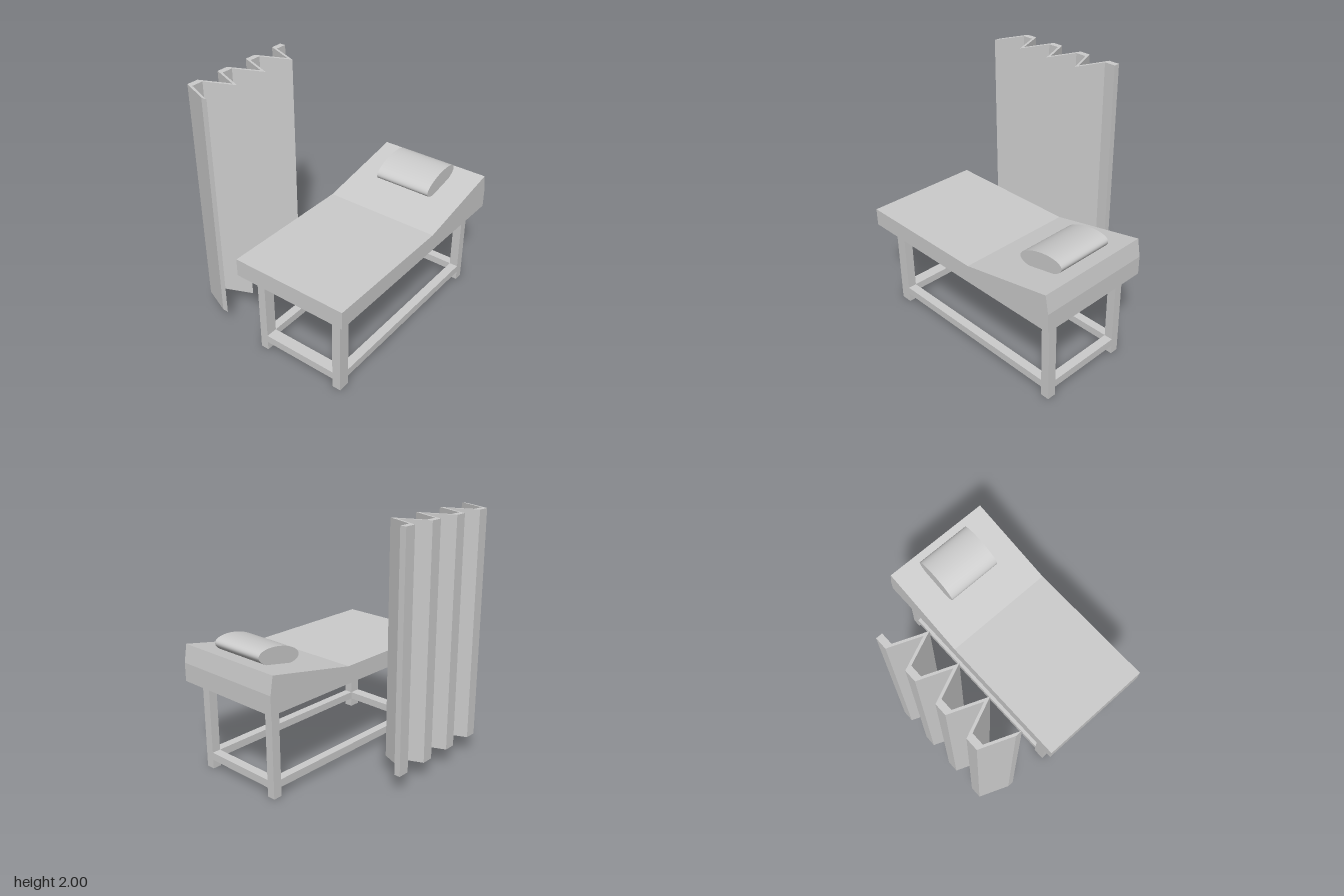
import * as THREE from 'three';

const material = new THREE.MeshStandardMaterial({ color: 0xcccccc });

export function createModel() {
  const model = new THREE.Group();
  model.name = 'examinationBed';

  const add = (name, geometry) => {
    const mesh = new THREE.Mesh(geometry, material);
    mesh.name = name;
    model.add(mesh);
  };

  // Box given by its limits on each axis
  const addBox = (name, [x0, x1], [y0, y1], [z0, z1]) => {
    const geometry = new THREE.BoxGeometry(x1 - x0, y1 - y0, z1 - z0);
    geometry.translate((x0 + x1) / 2, (y0 + y1) / 2, (z0 + z1) / 2);
    add(name, geometry);
  };

  const extrude = (points, depth) => new THREE.ExtrudeGeometry(
    new THREE.Shape(points.map(([a, b]) => new THREE.Vector2(a, b))),
    { depth, bevelEnabled: false }
  );

  // Mattress with raised head end: side profile in (z, y), extruded across x
  const mattress = extrude([
    [0.955, 0.72], [0.955, 0.862], [-0.16, 0.862],
    [-0.93, 1.015], [-0.955, 0.87], [-0.955, 0.72],
  ], 0.955);
  mattress.rotateY(-Math.PI / 2);
  mattress.translate(0.755, 0, 0);
  add('mattress', mattress);

  // Pillow: elliptical cylinder tilted to lie on the head end
  const pillow = new THREE.CylinderGeometry(1, 1, 0.48, 48);
  pillow.rotateZ(Math.PI / 2);
  pillow.scale(1, 0.075, 0.2);
  pillow.rotateX(0.2);
  pillow.translate(0.275, 1.02, -0.648);
  add('pillow', pillow);

  // Legs and the low stretchers joining them
  const legX = { right: [-0.115, -0.047], left: [0.583, 0.655] };
  const legZ = { front: [0.75, 0.845], back: [-0.875, -0.803] };
  for (const [end, z] of Object.entries(legZ)) {
    for (const [side, x] of Object.entries(legX)) {
      addBox(`${end}Leg_${side}`, x, [0, 0.722], z);
    }
    addBox(`${end}Stretcher`, [legX.right[1], legX.left[0]], [0.075, 0.138], z);
  }
  for (const [side, x] of Object.entries(legX)) {
    addBox(`sideStretcher_${side}`, x, [0.075, 0.138], [legZ.back[1], legZ.front[0]]);
  }

  // Pleated curtain: zigzag in (x, -z), thickened along x and extruded upward
  const path = [];
  for (let i = 0; i < 4; i++) {
    const z = -0.22 + i * 0.292;
    path.push([-0.755, -z], [-0.755, -(z + 0.095)], [-0.518, -(z + 0.19)]);
  }
  const inner = path.map(([x, y]) => [x + 0.05, y]).reverse();
  const curtain = extrude([...path, ...inner], 1.843);
  curtain.rotateX(-Math.PI / 2);
  curtain.translate(0, 0.157, 0);
  add('curtain', curtain);

  return model;
}
